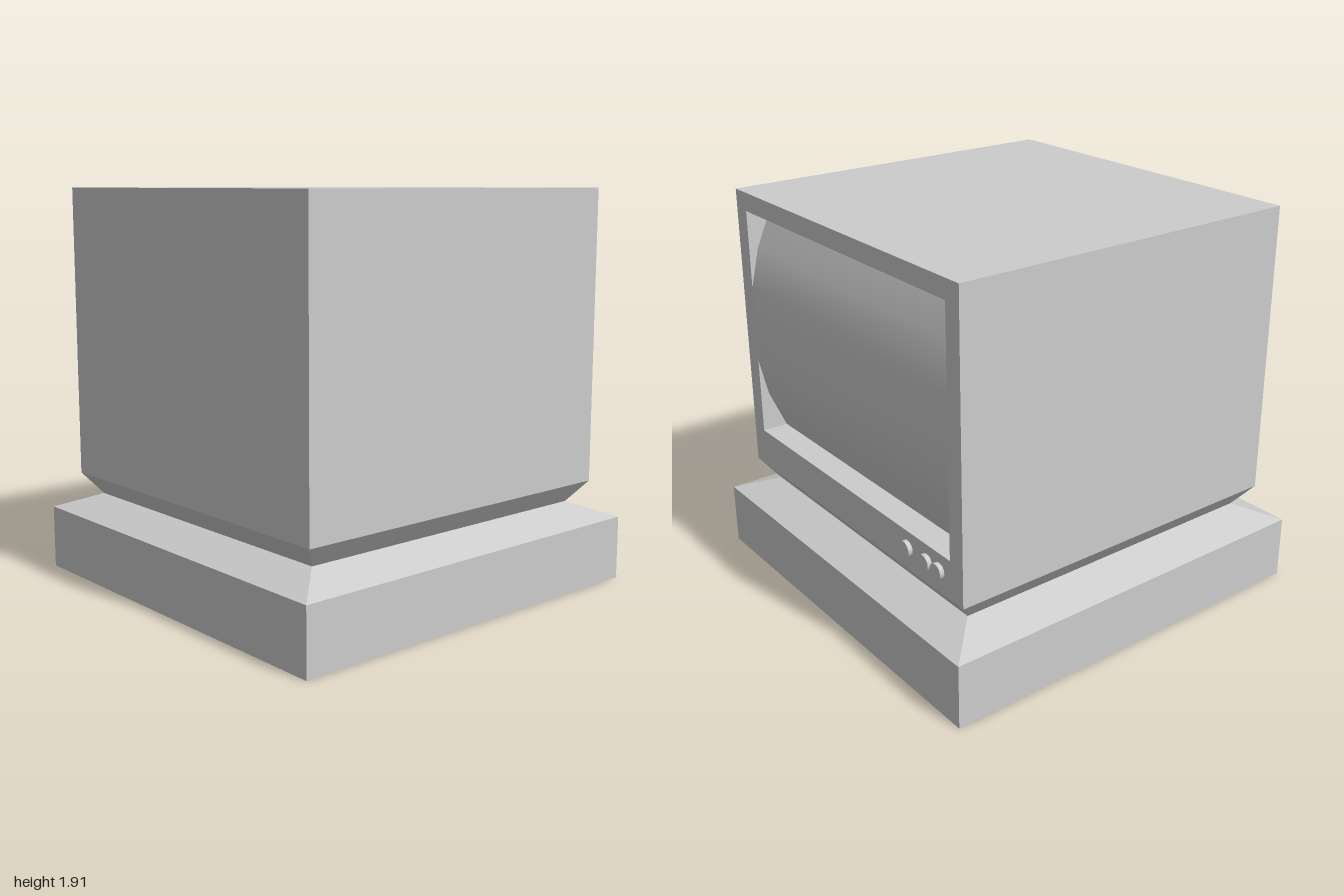
import * as THREE from 'three';

export function createModel() {
  const group = new THREE.Group();
  const grey = new THREE.MeshStandardMaterial({ color: 0xcccccc });
  grey.name = 'casing grey';

  const add = (name, geometry, x = 0, y = 0, z = 0) => {
    const mesh = new THREE.Mesh(geometry, grey);
    mesh.name = name;
    mesh.position.set(x, y, z);
    group.add(mesh);
    return mesh;
  };

  const half = 0.895, bottom = 0.49, top = 1.91;
  const depth = 0.13;                 // screen recess
  const midY = 1.25, openY = 0.57, openZ = 0.805;

  // Square plinth, sloping shoulder and flared neck as one four-sided lathe
  const profile = [[0, 0], [1, 0], [1, 0.31], [0.815, 0.385], [half, bottom], [0, bottom]]
    .map(([r, y]) => new THREE.Vector2(r * Math.SQRT2, y));
  const stand = new THREE.LatheGeometry(profile, 4, Math.PI / 4).toNonIndexed();
  stand.computeVertexNormals();
  add('stand', stand);

  // Cabinet behind the recess
  add('cabinet', new THREE.BoxGeometry(2 * half - depth, top - bottom, 2 * half),
    -depth / 2, (top + bottom) / 2, 0);

  // Frame around the screen, on the +x side
  const rect = (Type, w, y0, y1) => new Type([
    new THREE.Vector2(-w, y0), new THREE.Vector2(w, y0),
    new THREE.Vector2(w, y1), new THREE.Vector2(-w, y1)]);
  const face = rect(THREE.Shape, half, bottom, top);
  face.holes.push(rect(THREE.Path, openZ, midY - openY, midY + openY));
  const frame = new THREE.ExtrudeGeometry(face, { depth, bevelEnabled: false });
  frame.rotateY(Math.PI / 2);
  add('screenFrame', frame, half - depth, 0, 0);

  // Screen: flush in the middle, curving back towards top and bottom
  const sag = [0, 0, 0.045, depth - 0.001];
  const screen = new THREE.PlaneGeometry(2 * openZ, 2 * openY, 1, 6);
  const p = screen.attributes.position;
  for (let i = 0; i < p.count; i++) {
    p.setZ(i, -sag[Math.round(Math.abs(p.getY(i)) / openY * 3)]);
  }
  screen.computeVertexNormals();
  screen.rotateY(Math.PI / 2);
  add('screen', screen, half, midY, 0);

  // Control knobs
  for (const z of [-0.49, -0.635, -0.725]) {
    const knob = new THREE.CylinderGeometry(0.038, 0.038, 0.03, 32);
    knob.rotateZ(-Math.PI / 2);
    add('knob', knob, half + 0.007, 0.597, z);
  }

  return group;
}
